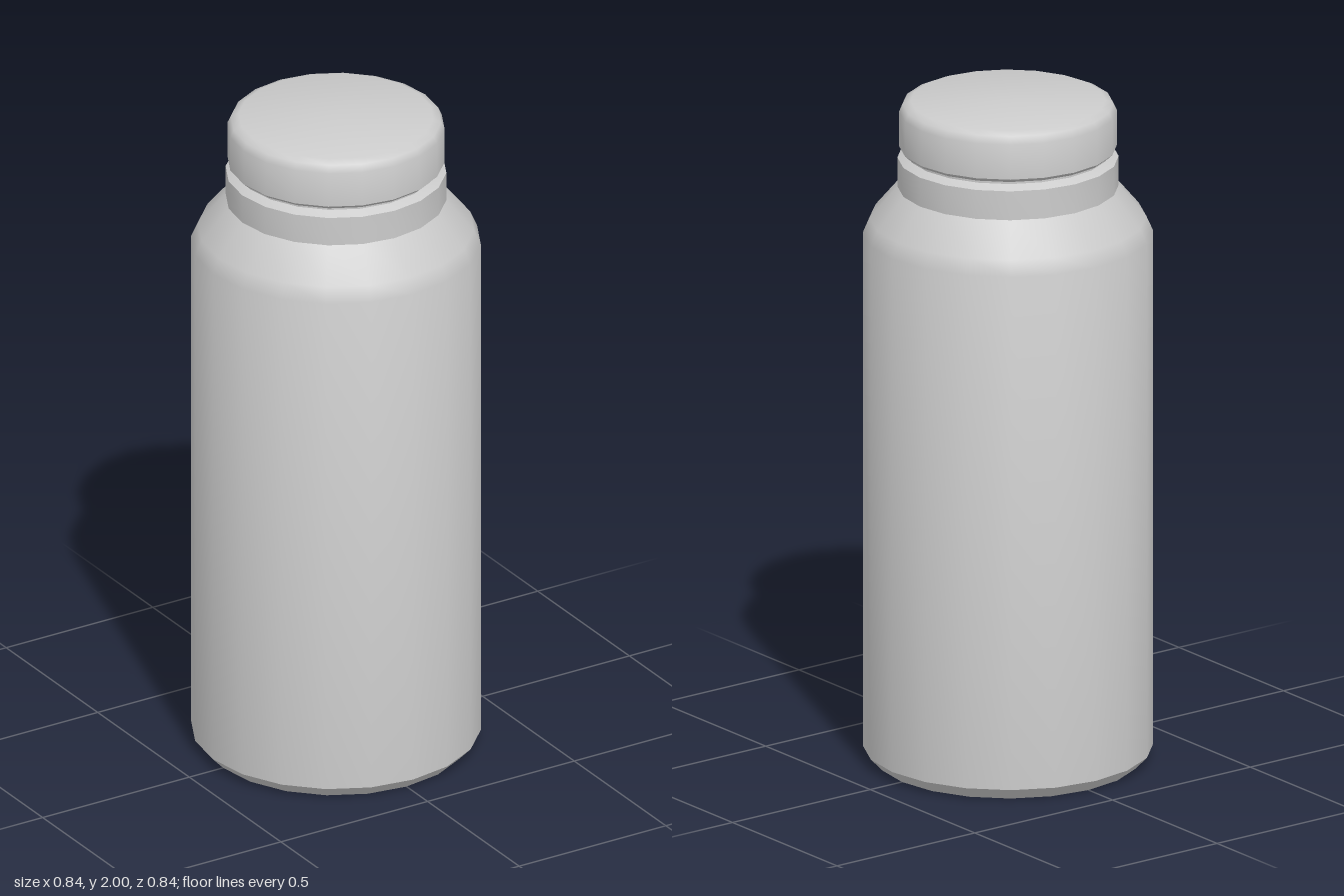
import * as THREE from 'three';
import { toCreasedNormals } from 'three/addons/utils/BufferGeometryUtils.js';

const SIDES = 20;
const material = new THREE.MeshStandardMaterial({ color: 0xcccccc });

// Revolve a [radius, height] profile, listed from bottom to top
function turned(name, profile, creaseDegrees) {
  const points = profile.map(([r, y]) => new THREE.Vector2(r, y));
  const lathe = new THREE.LatheGeometry(points, SIDES);
  const geometry = toCreasedNormals(lathe, THREE.MathUtils.degToRad(creaseDegrees));
  const mesh = new THREE.Mesh(geometry, material);
  mesh.name = name;
  return mesh;
}

export function createModel() {
  const bottle = new THREE.Group();
  bottle.name = 'bottle';

  // Body: chamfered base, straight wall, rounded shoulder, collar and narrow neck
  bottle.add(turned('body', [
    [0, 0], [0.385, 0], [0.42, 0.037],
    [0.42, 1.6], [0.4, 1.645], [0.32, 1.74],
    [0.32, 1.828], [0.295, 1.842], [0.295, 1.87], [0, 1.87],
  ], 30));

  // Cap: small lip below, softly rounded top edge
  bottle.add(turned('cap', [
    [0, 1.851], [0.303, 1.851], [0.315, 1.862],
    [0.315, 1.968], [0.305, 1.99], [0.282, 2], [0, 2],
  ], 44.5));

  return bottle;
}
